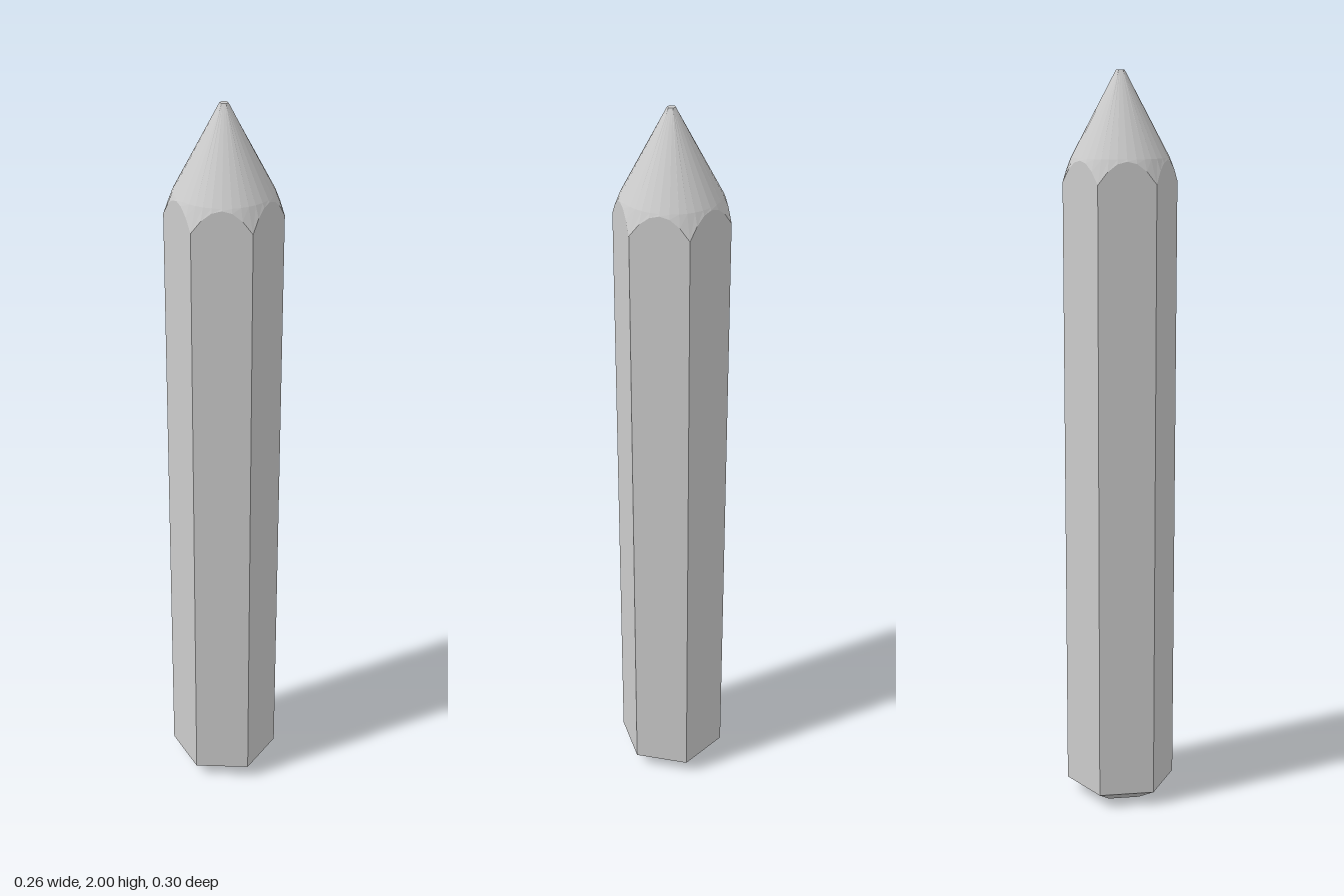
import * as THREE from 'three';

const SIDES = 6, STEPS = 6, COUNT = SIDES * STEPS;
const APOTHEM = 0.131 / 0.151;

// One ring of points; shape 'hex' has corners on +z and -z, otherwise it is round.
function ring(radius, heightAt, hex = true) {
  return Array.from({ length: COUNT }, (_, i) => {
    const side = Math.floor(i / STEPS), t = (i % STEPS) / STEPS;
    const a = (side * Math.PI) / 3, b = a + Math.PI / 3;
    let x = Math.sin(a) * (1 - t) + Math.sin(b) * t;
    let z = Math.cos(a) * (1 - t) + Math.cos(b) * t;
    if (!hex) {
      const l = Math.hypot(x, z);
      x /= l;
      z /= l;
    }
    return [x * radius, heightAt(2 * t - 1), z * radius];
  });
}

// Joins rings from bottom to top, with optional flat caps.
function loft(rings, capBottom, capTop) {
  const pos = [];
  const tri = (a, b, c) => pos.push(...a, ...b, ...c);
  const first = rings[0], last = rings[rings.length - 1];
  for (let i = 0; i < COUNT; i++) {
    const j = (i + 1) % COUNT;
    for (let r = 0; r < rings.length - 1; r++) {
      const lo = rings[r], hi = rings[r + 1];
      tri(lo[i], lo[j], hi[j]);
      tri(lo[i], hi[j], hi[i]);
    }
    if (capBottom) tri([0, first[0][1], 0], first[j], first[i]);
    if (capTop) tri([0, last[0][1], 0], last[i], last[j]);
  }
  const geo = new THREE.BufferGeometry();
  geo.setAttribute('position', new THREE.Float32BufferAttribute(pos, 3));
  geo.computeVertexNormals();
  return geo;
}

export function createModel() {
  const group = new THREE.Group();
  const material = new THREE.MeshStandardMaterial({ color: 0xcccccc, flatShading: true });
  const add = (name, geo) => {
    const mesh = new THREE.Mesh(geo, material);
    mesh.name = name;
    group.add(mesh);
  };

  const R = 0.151;
  // Scalloped edge: high in the middle of each flat, low at the corners
  const scallop = ring(R, (s) => 1.775 - 0.058 * s * s);

  // Hexagonal shaft with a chamfered foot
  add('shaft', loft([ring(0.085, () => 0), ring(R, () => 0.04), scallop], true, false));

  // Sharpened cone ending in a tiny flat hexagon
  add('sharpenedTip', loft([
    scallop,
    ring(R * APOTHEM - 0.003, () => 1.78, false),
    ring(0.011, () => 2),
  ], false, true));

  return group;
}
